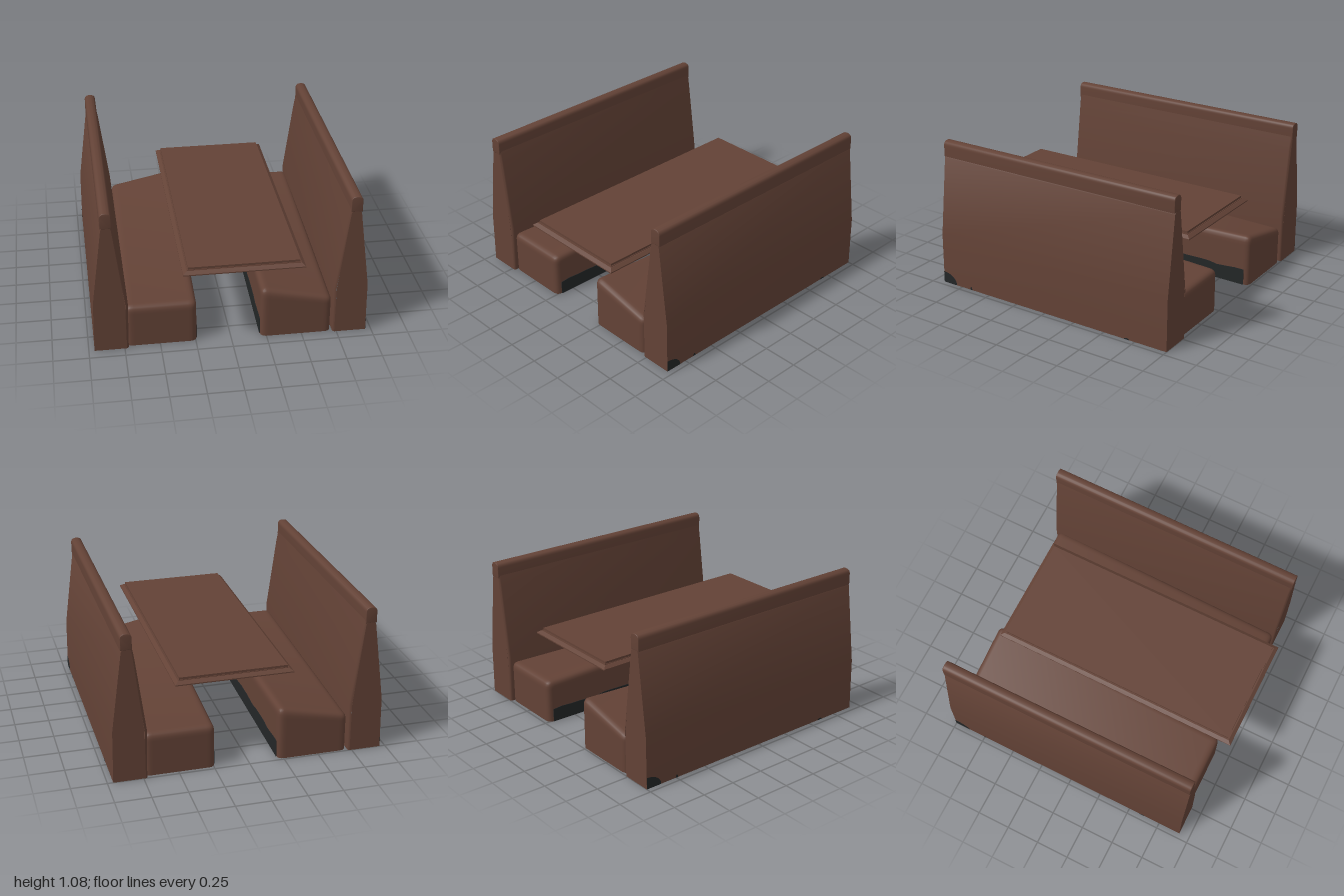
import * as THREE from 'three';
import { toCreasedNormals } from 'three/addons/utils/BufferGeometryUtils.js';

const lerp = THREE.MathUtils.lerp;
const brown = new THREE.MeshStandardMaterial({ color: 0x634236, side: THREE.DoubleSide });
brown.name = 'brown upholstery';
const charcoal = new THREE.MeshStandardMaterial({ color: 0x232627, side: THREE.DoubleSide });
charcoal.name = 'charcoal trim';

function part(name, geometry, material = brown) {
  const mesh = new THREE.Mesh(geometry, material);
  mesh.name = name;
  return mesh;
}

// Extrudes an x-y outline along z, centred on z = 0
function extrude(shape, length, bevel = 0) {
  const g = new THREE.ExtrudeGeometry(shape, {
    depth: length - 2 * bevel, curveSegments: 8, bevelEnabled: bevel > 0,
    bevelSize: bevel, bevelThickness: bevel, bevelOffset: -bevel, bevelSegments: 3,
  });
  return g.translate(0, 0, bevel - length / 2);
}

const outline = (points) => new THREE.Shape(points.map(([x, y]) => new THREE.Vector2(x, y)));
const smooth = (g) => toCreasedNormals(g, 0.6);

function mapVertices(g, rule) {
  const p = g.attributes.position;
  const v = new THREE.Vector3();
  for (let i = 0; i < p.count; i++) {
    rule(v.fromBufferAttribute(p, i));
    p.setXYZ(i, v.x, v.y, v.z);
  }
  return g;
}

// Keeps only the faces whose normal passes the test, leaving an open shell
function keepFaces(g, test) {
  const source = g.index ? g.toNonIndexed() : g;
  const p = source.attributes.position;
  const kept = [];
  const t = new THREE.Triangle();
  const n = new THREE.Vector3();
  for (let i = 0; i < p.count; i += 3) {
    t.setFromAttributeAndIndices(p, i, i + 1, i + 2);
    if (t.getArea() > 1e-9 && test(t.getNormal(n))) {
      kept.push(...t.a.toArray(), ...t.b.toArray(), ...t.c.toArray());
    }
  }
  const shell = new THREE.BufferGeometry();
  shell.setAttribute('position', new THREE.Float32BufferAttribute(kept, 3));
  return smooth(shell);
}

// Rounds the edges of a box of the given half sizes
function roundRule(half, radius) {
  const limit = half.clone().subScalar(radius);
  const lower = limit.clone().negate();
  const core = new THREE.Vector3();
  return (p) => {
    core.copy(p).clamp(lower, limit);
    p.sub(core).setLength(radius).add(core);
  };
}

// Skews a seat-sized block: the front end slopes, the back end is level
function seatRule(p) {
  const u = (p.x + 0.25) / 0.5;
  const v = (p.z + 0.94) / 1.88;
  const top = lerp(0.318, lerp(0.39, 0.28, u), v);
  p.x = lerp(lerp(0.242, 0.208, v), lerp(0.735, 0.71, v), u);
  p.y = Math.max(p.y, 0) * top / 0.32;
  p.z += 0.007;
}

// Thin strip along x with one wavy edge
function wavyStrip(width, length) {
  const points = [[length / 2, 0], [-length / 2, 0]];
  for (let i = 0; i <= 24; i++) {
    const wave = 0.005 * Math.sin(i * 1.1) + 0.003 * Math.sin(i * 2.3);
    points.push([length * (i / 24 - 0.5), width + wave]);
  }
  return new THREE.ExtrudeGeometry(outline(points.reverse()), { depth: 0.008, bevelEnabled: false });
}

function createBench(name) {
  const bench = new THREE.Group();
  bench.name = name;

  // Outer wall and ends of the hollow, tapering back
  const panel = extrude(outline([
    [0.735, 0], [0.96, 0], [0.955, 0.38], [0.88, 0.955], [0.873, 0.967],
    [0.817, 0.967], [0.81, 0.955], [0.737, 0.36],
  ]), 1.92);
  bench.add(part('backPanel', keepFaces(panel, (n) => n.x > -0.5 && Math.abs(n.y) < 0.9)));

  // Padded inner wall with rounded ends, closing the shell
  const cushion = extrude(outline([
    [0.722, -0.03], [0.86, -0.03], [0.86, 0.99], [0.806, 0.99], [0.79, 0.9], [0.717, 0.36],
  ]), 1.92, 0.018);
  mapVertices(cushion, (p) => { p.y = Math.max(p.y, 0); });
  bench.add(part('backCushion', keepFaces(cushion, (n) => n.x < -0.1)));

  // Rounded top rail
  const rail = new THREE.Shape();
  rail.moveTo(0.805, 0.965);
  rail.lineTo(0.885, 0.965);
  rail.lineTo(0.885, 1.045);
  rail.quadraticCurveTo(0.885, 1.08, 0.845, 1.08);
  rail.quadraticCurveTo(0.805, 1.08, 0.805, 1.045);
  bench.add(part('topRail', smooth(extrude(rail, 1.92, 0.004))));

  // Hollow seat block with soft upper edges and an open base
  const half = new THREE.Vector3(0.25, 0.18, 0.94);
  const seat = mapVertices(new THREE.BoxGeometry(0.5, 0.36, 1.88, 25, 18, 94), roundRule(half, 0.04));
  mapVertices(seat.translate(0, 0.14, 0), seatRule);
  bench.add(part('seat', keepFaces(seat, (n) => n.y > -0.9)));

  // Dark trim along the lower inner wall, showing on both its sides
  const kick = wavyStrip(0.098, 1.8).rotateY(-Math.PI / 2).translate(-0.246, 0, 0);
  bench.add(part('kickStrip', mapVertices(kick, seatRule), charcoal));

  // Dark patches on the lower outer wall: one at the corner, two small scuffs
  const patch = new THREE.CircleGeometry(1, 12, 0, Math.PI / 2);
  patch.scale(0.12, 0.085, 1).rotateY(Math.PI / 2).translate(0.961, 0, 0.96);
  bench.add(part('cornerPatch', patch, charcoal));
  for (const [z, width, height] of [[0.705, 0.01, 0.022], [-0.645, 0.022, 0.012]]) {
    const scuff = new THREE.CircleGeometry(1, 8, 0, Math.PI);
    scuff.scale(width, height, 1).rotateY(Math.PI / 2).translate(0.961, 0, z);
    bench.add(part('scuff', scuff, charcoal));
  }

  bench.position.z = -0.04;
  return bench;
}

// Rectangular slab whose top is inset from its base
function slab(width, length, y0, y1, inset = 0) {
  const g = new THREE.BoxGeometry(width, y1 - y0, length).toNonIndexed();
  mapVertices(g, (p) => {
    if (p.y > 0) {
      p.x -= Math.sign(p.x) * inset;
      p.z -= Math.sign(p.z) * inset;
    }
  });
  g.translate(0, (y0 + y1) / 2, 0);
  g.computeVertexNormals();
  return g;
}

export function createModel() {
  const model = new THREE.Group();
  model.name = 'diningBooth';

  // Two benches facing each other, one turned half a circle
  const left = createBench('leftBench');
  const right = createBench('rightBench');
  right.rotation.y = Math.PI;
  model.add(left, right);

  // Stepped table top
  const table = new THREE.Group();
  table.name = 'table';
  table.add(
    part('tableBase', slab(0.84, 1.885, 0.605, 0.613)),
    part('tableBevel', slab(0.84, 1.885, 0.613, 0.63, 0.025)),
    part('tableStep', slab(0.778, 1.823, 0.63, 0.634)),
    part('tableTop', slab(0.768, 1.813, 0.634, 0.65)),
  );
  table.position.set(0.075, 0, 0.0575);
  model.add(table);
  return model;
}
